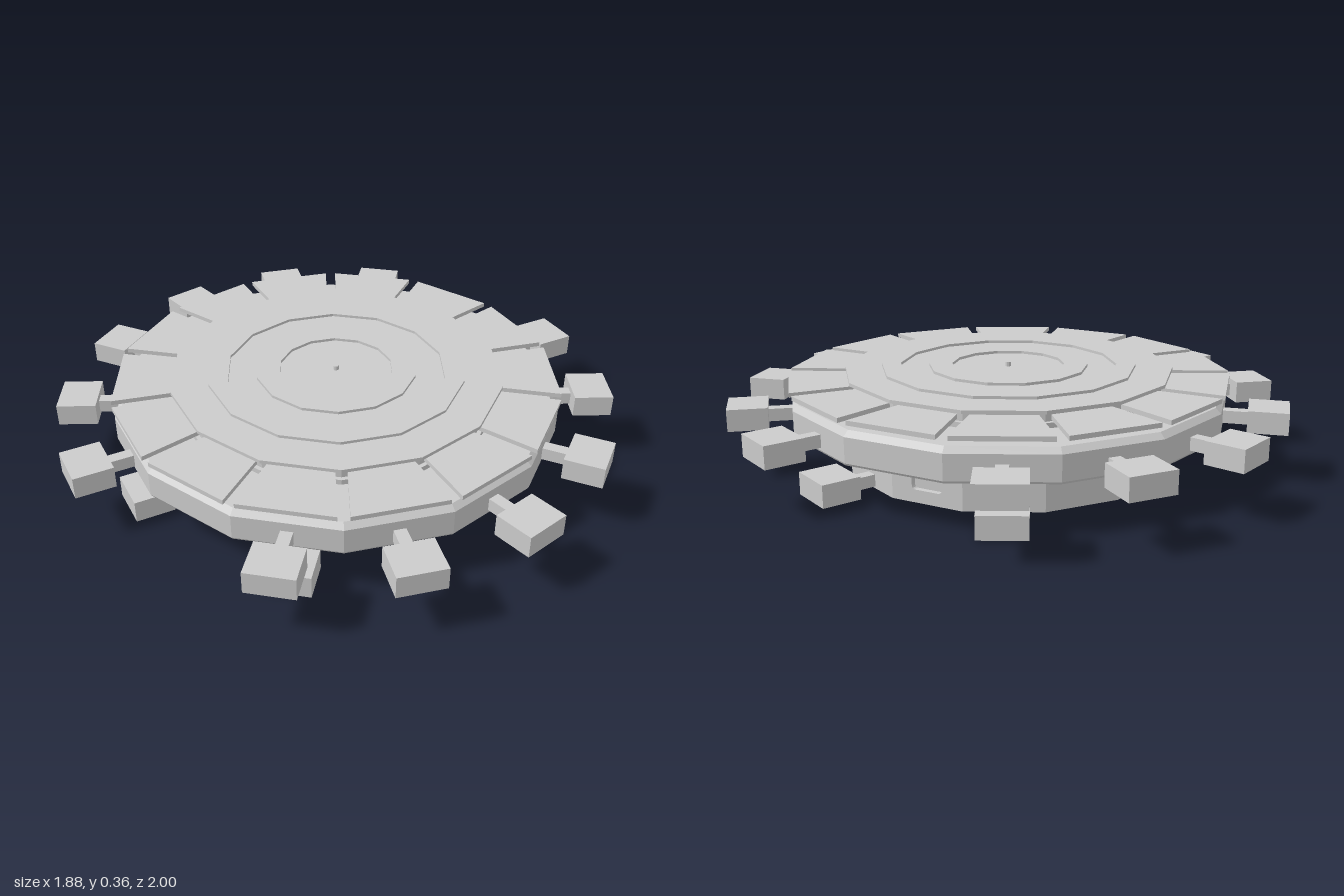
import * as THREE from 'three';

const SIDES = 14;
const STEP = (Math.PI * 2) / SIDES;
const TAN = Math.tan(STEP / 2);
const APOTHEM = Math.cos(STEP / 2);

const mat = new THREE.MeshStandardMaterial({ color: 0xcccccc, flatShading: true });

export function createModel() {
  const model = new THREE.Group();

  const add = (name, geometry, parent = model) => {
    const mesh = new THREE.Mesh(geometry, mat);
    mesh.name = name;
    parent.add(mesh);
    return mesh;
  };
  // Fourteen-sided solid from a profile of [radius, y] points, bottom to top
  const turned = (name, profile) =>
    add(name, new THREE.LatheGeometry(profile.map(([r, y]) => new THREE.Vector2(r, y)), SIDES));
  // Group whose +z points outward through the middle of side i
  const sideGroup = (name, i) => {
    const group = new THREE.Group();
    group.name = name;
    group.rotation.y = (i + 0.5) * STEP;
    model.add(group);
    return group;
  };
  // Box given by width, height range and radial range
  const radialBox = (name, parent, width, y0, y1, r0, r1) => {
    const box = add(name, new THREE.BoxGeometry(width, y1 - y0, r1 - r0), parent);
    box.position.set(0, (y0 + y1) / 2, (r0 + r1) / 2);
  };

  // Lower drum core with a narrow neck showing above its wall
  turned('drumCore', [[0, 0.005], [0.58, 0.005], [0.58, 0.18], [0, 0.18]]);

  // Wide main disc with a chamfered upper rim
  turned('mainDisc', [[0, 0.172], [0.795, 0.172], [0.8, 0.18], [0.8, 0.267], [0.78, 0.286], [0, 0.286]]);

  // Grooved upper deck that holds the panels
  turned('upperDeck', [[0, 0.28], [0.6, 0.28], [0.6, 0.304], [0.585, 0.304], [0.585, 0.332],
    [0.6, 0.332], [0.6, 0.344], [0, 0.344]]);

  // Raised concentric rings and the centre stud
  for (const [inner, outer] of [[0.395, 0.465], [0.205, 0.29]]) {
    turned('deckRing', [[inner, 0.34], [outer, 0.34], [outer, 0.354], [inner, 0.354], [inner, 0.34]]);
  }
  add('centreStud', new THREE.CylinderGeometry(0.01, 0.01, 0.02, 8)).position.y = 0.35;

  // Flat trapezoid panel, drawn in x and radius, then laid flat
  const panelShape = new THREE.Shape();
  const rIn = 0.56, rOut = 0.79, gap = 0.02;
  panelShape.moveTo(-(rIn * TAN - gap), -rIn);
  panelShape.lineTo(-(rOut * TAN - gap), -rOut);
  panelShape.lineTo(rOut * TAN - gap, -rOut);
  panelShape.lineTo(rIn * TAN - gap, -rIn);
  const panelGeo = new THREE.ExtrudeGeometry(panelShape, { depth: 0.016, bevelEnabled: false });
  panelGeo.rotateX(-Math.PI / 2);

  // Drum wall plate, with a rounded hatch opening if wanted
  const wallR = 0.6 * APOTHEM, wallHalf = wallR * TAN;
  const wallGeometry = (withHatch) => {
    const shape = new THREE.Shape();
    shape.moveTo(-wallHalf, 0.005);
    shape.lineTo(wallHalf, 0.005);
    shape.lineTo(wallHalf, 0.162);
    shape.lineTo(-wallHalf, 0.162);
    if (withHatch) {
      const hole = new THREE.Path();
      const w = 0.057, y0 = 0.05, y1 = 0.128, c = 0.016;
      hole.moveTo(-w + c, y0);
      hole.lineTo(w - c, y0);
      hole.quadraticCurveTo(w, y0, w, y0 + c);
      hole.lineTo(w, y1 - c);
      hole.quadraticCurveTo(w, y1, w - c, y1);
      hole.lineTo(-w + c, y1);
      hole.quadraticCurveTo(-w, y1, -w, y1 - c);
      hole.lineTo(-w, y0 + c);
      hole.quadraticCurveTo(-w, y0, -w + c, y0);
      shape.holes.push(hole);
    }
    return new THREE.ExtrudeGeometry(shape, { depth: 0.025, bevelEnabled: false, curveSegments: 4 });
  };

  for (let i = 0; i < SIDES; i++) {
    const side = sideGroup('side', i);
    const facesX = i === 3 || i === 10; // the two sides facing +x and -x

    add('topPanel', panelGeo, side).position.y = 0.31;
    add('drumWall', wallGeometry(i === 3), side).position.z = wallR - 0.025;

    // Outer pods on arms, left out on the two x sides
    if (!facesX) {
      radialBox('podArm', side, 0.042, 0.19, 0.235, 0.76, 0.88);
      radialBox('pod', side, 0.165, 0.178, 0.256, 0.865, 1.005);
    }
    // Lower pods next to the x sides
    if ([2, 4, 9, 11].includes(i)) {
      radialBox('lowerPodArm', side, 0.042, 0.012, 0.055, 0.56, 0.69);
      radialBox('lowerPod', side, 0.165, 0.005, 0.085, 0.675, 0.815);
    }
    // Bar over the rear service side
    if (i === 5) radialBox('serviceBar', side, 0.22, 0.15, 0.175, 0.57, 0.605);
  }

  // Thin plates under the drum, by the hatch and at the back
  const hatchPlate = add('floorPlate', new THREE.BoxGeometry(0.1, 0.005, 0.2));
  hatchPlate.position.set(0.5, 0.0025, 0);
  const backPlate = add('floorPlate', new THREE.BoxGeometry(0.2, 0.005, 0.1));
  backPlate.position.set(-0.1, 0.0025, -0.51);

  return model;
}
